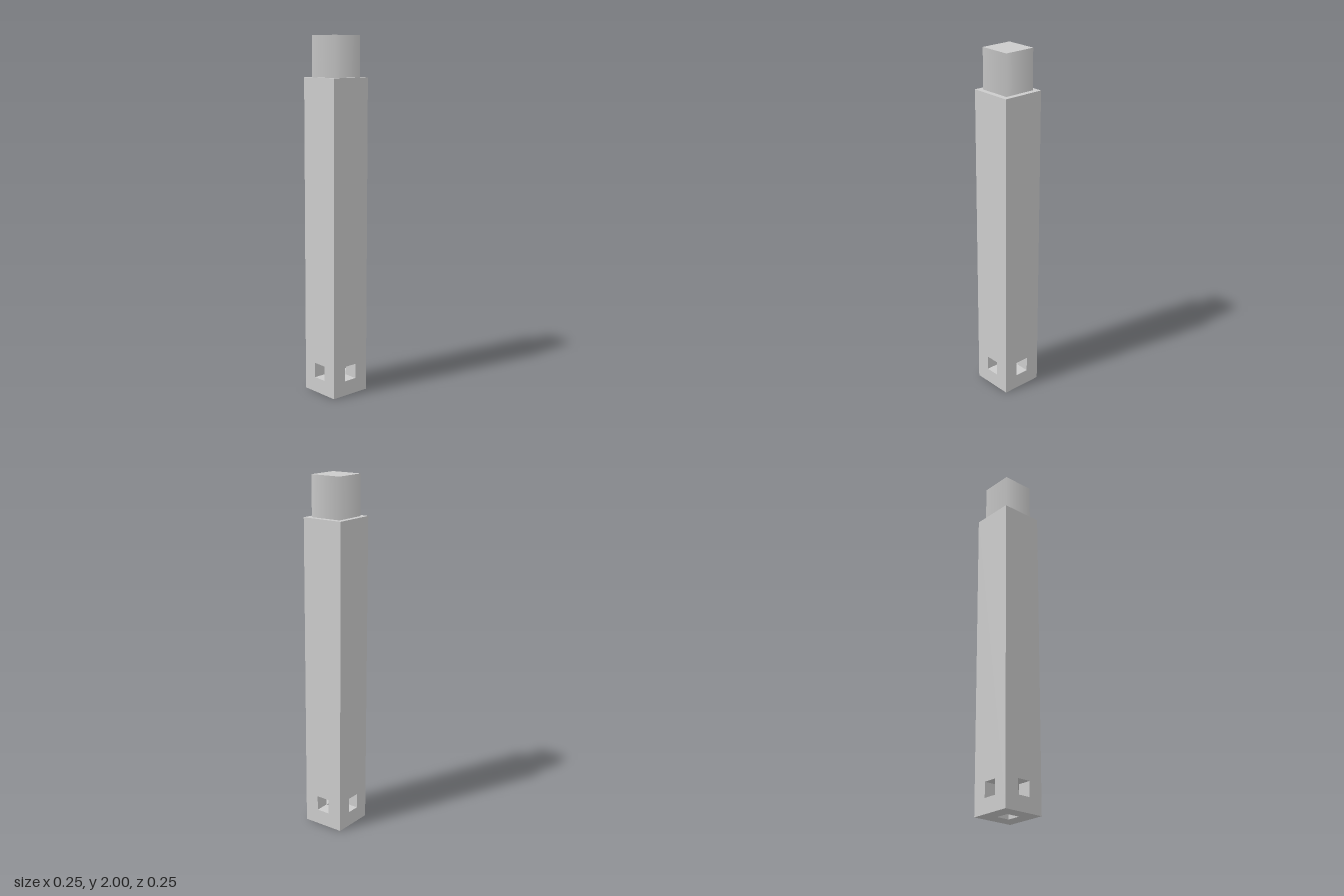
import * as THREE from 'three';

const HALF = 0.1225, BODY_TOP = 1.775;      // square post
const HOLE = 0.08, LOW = 0.085, HIGH = 0.17; // crossing sockets
const TENON = 0.184;

function rect(PathType, x0, y0, x1, y1) {
  const p = new PathType();
  p.moveTo(x0, y0).lineTo(x1, y0).lineTo(x1, y1).lineTo(x0, y1).closePath();
  return p;
}

function panel(y0, y1, holeY0, holeY1) {
  const shape = rect(THREE.Shape, -HALF, y0, HALF, y1);
  shape.holes.push(rect(THREE.Path, -HOLE / 2, holeY0, HOLE / 2, holeY1));
  return new THREE.ShapeGeometry(shape);
}

// Square tube along y with its faces pointing inward
function socketTube(w, length, d) {
  const tube = new THREE.CylinderGeometry(Math.SQRT1_2, Math.SQRT1_2, 1, 4, 1, true);
  tube.rotateY(Math.PI / 4).scale(-w, length, d); // mirrored, so the winding flips
  const flat = tube.toNonIndexed();
  flat.computeVertexNormals();
  return flat;
}

export function createModel() {
  const model = new THREE.Group();
  const material = new THREE.MeshStandardMaterial({ color: 0xcccccc });
  const add = (parent, name, geometry) => {
    const mesh = new THREE.Mesh(geometry, material);
    mesh.name = name;
    parent.add(mesh);
    return mesh;
  };
  const post = new THREE.Group();
  post.name = 'post';
  const sockets = new THREE.Group();
  sockets.name = 'sockets';
  model.add(post, sockets);

  // Four sides, each with a socket running in to the central crossing
  const side = panel(0, BODY_TOP, LOW, HIGH).translate(0, 0, HALF);
  const depth = HALF - HOLE / 2;
  const arm = socketTube(HOLE, depth, HIGH - LOW)
    .rotateX(Math.PI / 2)
    .translate(0, (LOW + HIGH) / 2, HOLE / 2 + depth / 2);
  for (let i = 0; i < 4; i++) {
    add(post, 'postSide', side).rotation.y = i * Math.PI / 2;
    add(sockets, 'sideSocket', arm).rotation.y = i * Math.PI / 2;
  }

  // Underside with its socket, and the ceiling of the crossing
  add(post, 'postBase', panel(-HALF, HALF, -HOLE / 2, HOLE / 2).rotateX(Math.PI / 2));
  add(sockets, 'baseSocket', socketTube(HOLE, LOW, HOLE).translate(0, LOW / 2, 0));
  add(sockets, 'socketCeiling',
    new THREE.PlaneGeometry(HOLE, HOLE).rotateX(Math.PI / 2).translate(0, HIGH, 0));

  // Shoulder on top of the post
  add(post, 'shoulder',
    new THREE.PlaneGeometry(2 * HALF, 2 * HALF).rotateX(-Math.PI / 2).translate(0, BODY_TOP, 0));

  // Square tenon with softly shaded sides
  const h = 2 - BODY_TOP, r = TENON * Math.SQRT1_2;
  add(model, 'tenon',
    new THREE.CylinderGeometry(r, r, h, 4).rotateY(Math.PI / 4).translate(0, BODY_TOP + h / 2, 0));

  return model;
}
